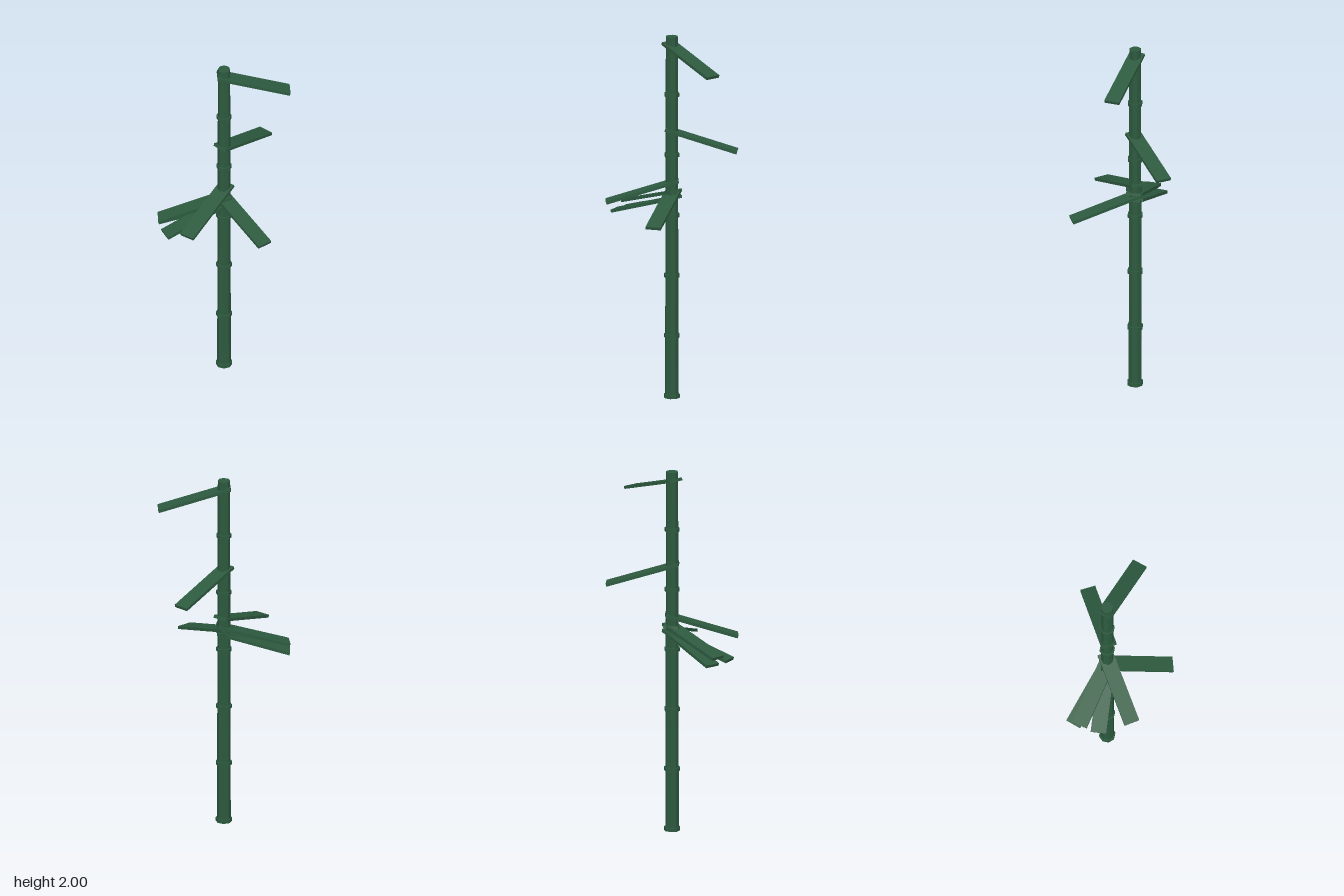
import * as THREE from 'three';

const STALK_X = -0.045;

export function createModel() {
  const model = new THREE.Group();
  const green = new THREE.MeshStandardMaterial({ color: 0x2d5a3f });
  green.name = 'bamboo green';
  green.flatShading = true;

  const add = (name, geometry, x, y, z) => {
    const mesh = new THREE.Mesh(geometry, green);
    mesh.name = name;
    mesh.position.set(x, y, z);
    model.add(mesh);
    return mesh;
  };

  // Stalk: six octagonal segments with a slight taper, each with a ring at its foot
  const segments = 6;
  const step = 2 / segments;
  const radiusAt = (y) => 0.037 - 0.002 * y;
  for (let i = 0; i < segments; i++) {
    const y = i * step;
    add('stalkSegment', new THREE.CylinderGeometry(radiusAt(y + step), radiusAt(y), step, 8), STALK_X, y + step / 2, 0);
    const r = radiusAt(y) + 0.007;
    add('stalkRing', new THREE.CylinderGeometry(r, r, 0.02, 8), STALK_X, y + 0.011, 0);
  }

  // Leaves: flat drooping slats; [direction x, direction z, centre height]
  const leaves = [
    [0.227, -0.272, 1.9],
    [-0.042, -0.35, 1.429],
    [0.352, 0.032, 1.08],
    [0.073, 0.347, 1.145],
    [-0.109, 0.337, 1.055],
    [-0.204, 0.289, 1.09],
    [-0.235, 0.266, 1.055],
  ];
  const leafGeometry = new THREE.BoxGeometry(0.084, 0.016, 0.405);
  const reach = 0.159;
  for (const [dx, dz, y] of leaves) {
    const yaw = Math.atan2(dx, dz);
    const leaf = add('leaf', leafGeometry, STALK_X + Math.sin(yaw) * reach, y, Math.cos(yaw) * reach);
    leaf.rotation.set(0.295, yaw, 0, 'YXZ');
  }

  return model;
}
